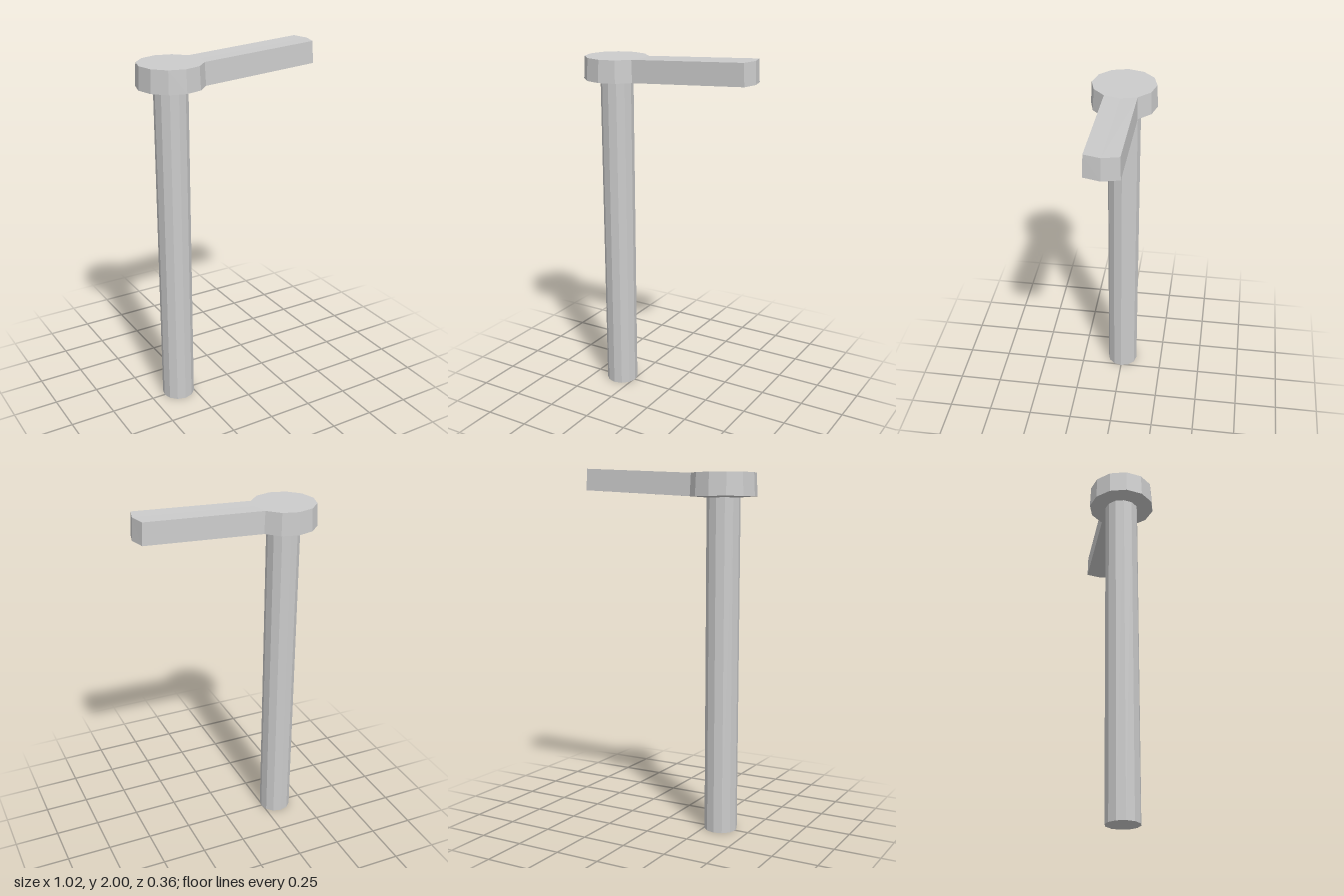
import * as THREE from 'three';

const POST_X = -0.333;
const SIDES = 12;

// Corners of one level of the handle: 12 around the hub, then 3 at the arm's end
function handleLevel(radius, hubY, endX, tipX, endY) {
  const points = [];
  for (let i = 0; i < SIDES; i++) {
    const a = (i / SIDES) * Math.PI * 2;
    points.push([POST_X + radius * Math.cos(a), hubY, radius * Math.sin(a)]);
  }
  const half = radius / 2;
  points.push([endX, endY, -half], [tipX, endY, 0], [endX, endY, half]);
  return points;
}

function handleGeometry() {
  const bottom = handleLevel(0.181, 1.842, 0.488, 0.511, 1.88);
  const top = handleLevel(0.175, 1.965, 0.482, 0.504, 2.0);
  const position = [];
  const tri = (a, b, c) => position.push(...a, ...b, ...c);

  // Upper and lower faces of the hub; the lower one dips a little to the post
  for (let i = 0; i < SIDES; i++) {
    const j = (i + 1) % SIDES;
    tri([POST_X, 1.965, 0], top[j], top[i]);
    tri([POST_X, 1.829, 0], bottom[i], bottom[j]);
  }

  // Upper and lower faces of the rising arm
  for (const [a, b, c, d] of [[11, 12, 13, 0], [0, 13, 14, 1]]) {
    tri(top[a], top[c], top[b]);
    tri(top[a], top[d], top[c]);
    tri(bottom[a], bottom[b], bottom[c]);
    tri(bottom[a], bottom[c], bottom[d]);
  }

  // Side wall around the whole outline, skipping the corner inside the arm
  for (let i = 1; i < 15; i++) {
    const j = i === 14 ? 1 : i + 1;
    tri(bottom[i], top[i], top[j]);
    tri(bottom[i], top[j], bottom[j]);
  }

  const geometry = new THREE.BufferGeometry();
  geometry.setAttribute('position', new THREE.Float32BufferAttribute(position, 3));
  geometry.computeVertexNormals();
  return geometry;
}

export function createModel() {
  const model = new THREE.Group();
  model.name = 'leverHandle';
  const material = new THREE.MeshStandardMaterial({ color: 0xcccccc, flatShading: true });

  // Upright post
  const height = 1.838;
  const post = new THREE.Mesh(new THREE.CylinderGeometry(0.091, 0.091, height, SIDES), material);
  post.name = 'post';
  post.position.set(POST_X, height / 2, 0);

  // Hub and arm in one piece
  const handle = new THREE.Mesh(handleGeometry(), material);
  handle.name = 'handle';

  model.add(post, handle);
  return model;
}
